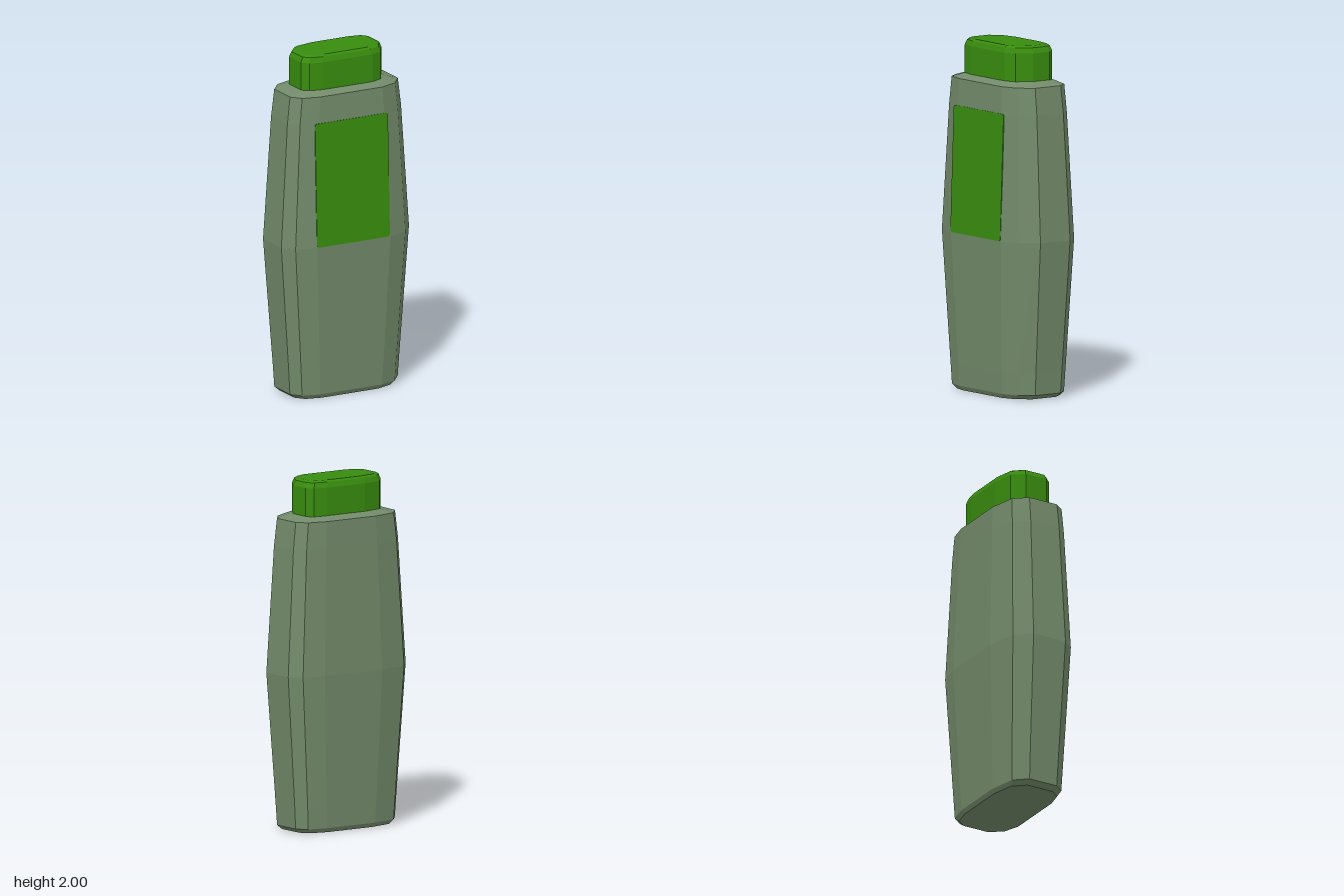
import * as THREE from 'three';

// Uneven twelve-sided outlines as [x, z], clockwise seen from above
const BODY_OUTLINE = [
  [-0.423, -0.09], [-0.346, -0.18], [-0.165, -0.22], [0.237, -0.22], [0.369, -0.192], [0.423, -0.124],
  [0.423, 0.084], [0.348, 0.176], [0.228, 0.217], [-0.246, 0.217], [-0.369, 0.188], [-0.423, 0.12],
];
const CAP_OUTLINE = [
  [-0.276, -0.052], [-0.22, -0.118], [-0.1, -0.144], [0.165, -0.144], [0.247, -0.129], [0.276, -0.09],
  [0.276, 0.027], [0.224, 0.113], [0.156, 0.14], [-0.165, 0.14], [-0.242, 0.122], [-0.276, 0.084],
];

// Closed faceted solid: the outline scaled at each level [y, scaleX, scaleZ]
function loft(outline, levels) {
  const rings = levels.map(([y, sx, sz]) => outline.map(([x, z]) => [x * sx, y, z * sz]));
  const pos = [];
  const tri = (a, b, c) => pos.push(...a, ...b, ...c);
  const n = outline.length;
  const bottom = rings[0];
  const top = rings[rings.length - 1];
  for (let i = 0; i < n; i++) {
    const j = (i + 1) % n;
    for (let k = 0; k < rings.length - 1; k++) {
      const lo = rings[k], hi = rings[k + 1];
      tri(lo[j], lo[i], hi[i]);
      tri(lo[j], hi[i], hi[j]);
    }
    tri([0, bottom[0][1], 0], bottom[i], bottom[j]);
    tri([0, top[0][1], 0], top[j], top[i]);
  }
  const geo = new THREE.BufferGeometry();
  geo.setAttribute('position', new THREE.Float32BufferAttribute(pos, 3));
  geo.computeVertexNormals();
  return geo;
}

function roundedRect(x0, y0, x1, y1, r) {
  const s = new THREE.Shape();
  s.absarc(x1 - r, y0 + r, r, -Math.PI / 2, 0);
  s.absarc(x1 - r, y1 - r, r, 0, Math.PI / 2);
  s.absarc(x0 + r, y1 - r, r, Math.PI / 2, Math.PI);
  s.absarc(x0 + r, y0 + r, r, Math.PI, Math.PI * 1.5);
  s.closePath();
  return s;
}

export function createModel() {
  const sage = new THREE.MeshStandardMaterial({ color: 0x728a6a });
  sage.name = 'sageGreen';
  const green = new THREE.MeshStandardMaterial({ color: 0x388c0e });
  green.name = 'brightGreen';
  sage.flatShading = green.flatShading = true;

  const group = new THREE.Group();
  group.name = 'bottle';
  const add = (name, geo, mat) => {
    const mesh = new THREE.Mesh(geo, mat);
    mesh.name = name;
    group.add(mesh);
    return mesh;
  };

  // Body bulging at mid height, with chamfered base and sloped shoulder
  add('body', loft(BODY_OUTLINE, [
    [0, 0.77, 0.79], [0.025, 0.845, 0.85], [0.15, 0.865, 0.875], [0.9, 1, 1],
    [1.62, 0.89, 0.89], [1.775, 0.845, 0.86], [1.8, 0.65, 0.66],
  ]), sage);

  // Cap with a two-step bevel at the top
  add('cap', loft(CAP_OUTLINE, [
    [1.79, 1, 1], [1.96, 1, 1], [1.99, 0.95, 0.93], [2, 0.88, 0.84],
  ]), green);

  // Thin front label leaning back with the upper body
  const label = add('label', new THREE.ExtrudeGeometry(roundedRect(-0.247, 0, 0.224, 0.722, 0.015), {
    depth: 0.005, bevelEnabled: false, curveSegments: 4,
  }), green);
  label.position.set(0, 0.9, 0.2145);
  label.rotation.x = -Math.atan2(0.024, 0.72);

  return group;
}
